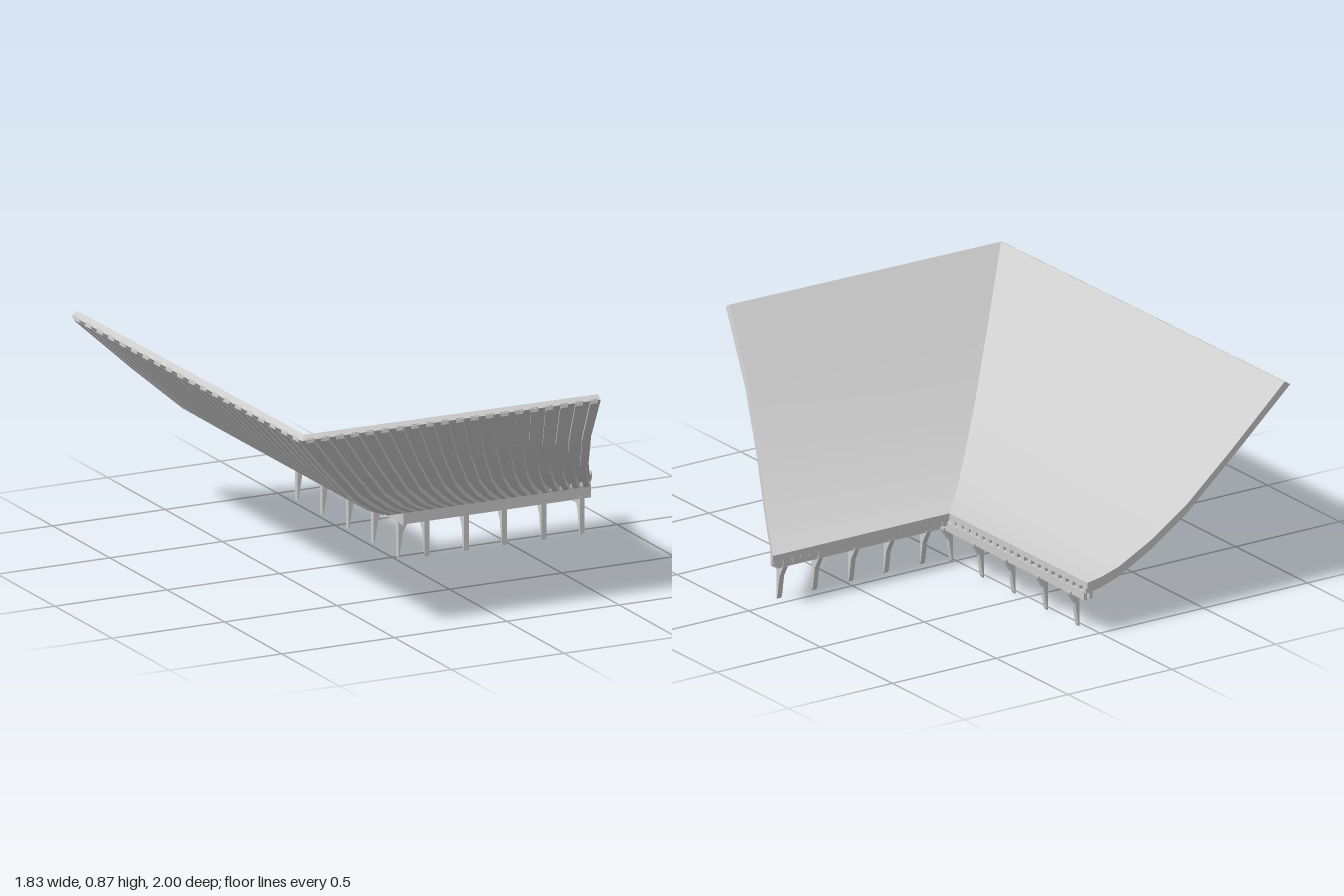
import * as THREE from 'three';
import { toCreasedNormals } from 'three/addons/utils/BufferGeometryUtils.js';

const material = new THREE.MeshStandardMaterial({ color: 0xcccccc });
const lerp = THREE.MathUtils.lerp;

// Sagging roof profile: [run from the eave 0..1, height, x of the slanted gable edge]
const profile = [
  [0, 0.225, 0.91], [0.07, 0.236, 0.87], [0.16, 0.262, 0.82], [0.32, 0.34, 0.73],
  [0.5, 0.452, 0.63], [0.73, 0.64, 0.52], [1, 0.874, 0.42],
];
const RIBS = 20;

// Point on a wing: s runs from the valley (0) to the gable (1),
// out and drop shift it from the top surface towards the underside.
function roofPoint(side, s, [d, y, gableX], out, drop) {
  const valley = [0.06 - 0.93 * d - out, -0.04 + 0.985 * d + out];
  const gable = side
    ? [0.06 - 0.95 * d - out, -1]
    : [gableX, -0.04 + 1.01 * d + out];
  return [lerp(valley[0], gable[0], s), y - drop, lerp(valley[1], gable[1], s)];
}

// Solid strip swept up the slope between s0 and s1
function sweptStrip(side, s0, s1, upper, lower) {
  const rings = profile.map((p) => {
    const [a, b] = [upper(p[0]), lower(p[0])];
    return [
      roofPoint(side, s0, p, ...a), roofPoint(side, s1, p, ...a),
      roofPoint(side, s1, p, ...b), roofPoint(side, s0, p, ...b),
    ];
  });
  const pos = [];
  const quad = (a, b, c, d) => {
    const q = side ? [d, c, b, a] : [a, b, c, d];
    for (const i of [0, 1, 2, 0, 2, 3]) pos.push(...q[i]);
  };
  for (let i = 0; i < rings.length - 1; i++) {
    for (let k = 0; k < 4; k++) {
      const n = (k + 1) % 4;
      quad(rings[i][k], rings[i + 1][k], rings[i + 1][n], rings[i][n]);
    }
  }
  quad(...rings[0]);
  quad(...rings[rings.length - 1].slice().reverse());
  const g = new THREE.BufferGeometry();
  g.setAttribute('position', new THREE.Float32BufferAttribute(pos, 3));
  return toCreasedNormals(g, 0.6);
}

const topFace = () => [0, 0];
const slabBottom = (d) => [0.027 * d, 0.025 - 0.009 * d];
const ribTop = (d) => [0.024 * d, 0.02 - 0.009 * d];
const ribBottom = (d) => [0.027 * d, 0.05 - 0.021 * d];

function addMesh(parent, name, geometry) {
  const mesh = new THREE.Mesh(geometry, material);
  mesh.name = name;
  parent.add(mesh);
  return mesh;
}

// Tapered bracket, flat at the back and widening towards the eave
function bracketGeometry() {
  const pts = [[0, 0], [0.006, 0.01], [0.021, 0.1], [0.046, 0.145], [0.046, 0.155], [0, 0.155]];
  const shape = new THREE.Shape(pts.map((p) => new THREE.Vector2(...p)));
  const g = new THREE.ExtrudeGeometry(shape, { depth: 0.022, bevelEnabled: false });
  return g.translate(0, 0, -0.011);
}

// Twin beams with brackets; the row runs along local z, the eave lies at local +x
function eaveSupport(name, start, end, top, stations) {
  const group = new THREE.Group();
  group.name = name;
  for (const x of [0.007, 0.034]) {
    const beam = addMesh(group, 'eaveBeam', new THREE.BoxGeometry(0.013, top - 0.145, end - start));
    beam.position.set(x, (top + 0.145) / 2, (start + end) / 2);
  }
  const bracket = bracketGeometry();
  for (const z of stations) addMesh(group, 'bracket', bracket).position.z = z;
  return group;
}

export function createModel() {
  const model = new THREE.Group();
  model.name = 'cornerRoof';

  // Two roof wings meeting at the valley, with ribs fanning out underneath
  [['frontWing', 0], ['sideWing', 1]].forEach(([name, side]) => {
    const wing = new THREE.Group();
    wing.name = name;
    addMesh(wing, 'roofSlab', sweptStrip(side, 0, 1, topFace, slabBottom));
    for (let i = 0; i < RIBS; i++) {
      addMesh(wing, 'rib', sweptStrip(side, (i + 0.3) / RIBS, (i + 0.82) / RIBS, ribTop, ribBottom));
    }
    model.add(wing);
  });

  // Supports below both eaves
  const sideSupport = eaveSupport('sideEaveSupport', -0.98, 0.03, 0.182,
    [0, -0.215, -0.435, -0.66, -0.88]);
  sideSupport.position.x = 0.022;
  const frontSupport = eaveSupport('frontEaveSupport', 0.03, 0.86, 0.2,
    [0.13, 0.305, 0.475, 0.65, 0.82]);
  frontSupport.rotation.y = Math.PI / 2;
  frontSupport.position.z = 0.05;
  model.add(sideSupport, frontSupport);

  // Post where the two beams meet
  addMesh(model, 'cornerPost', new THREE.BoxGeometry(0.014, 0.06, 0.03)).position.set(0.029, 0.172, 0.04);
  return model;
}
